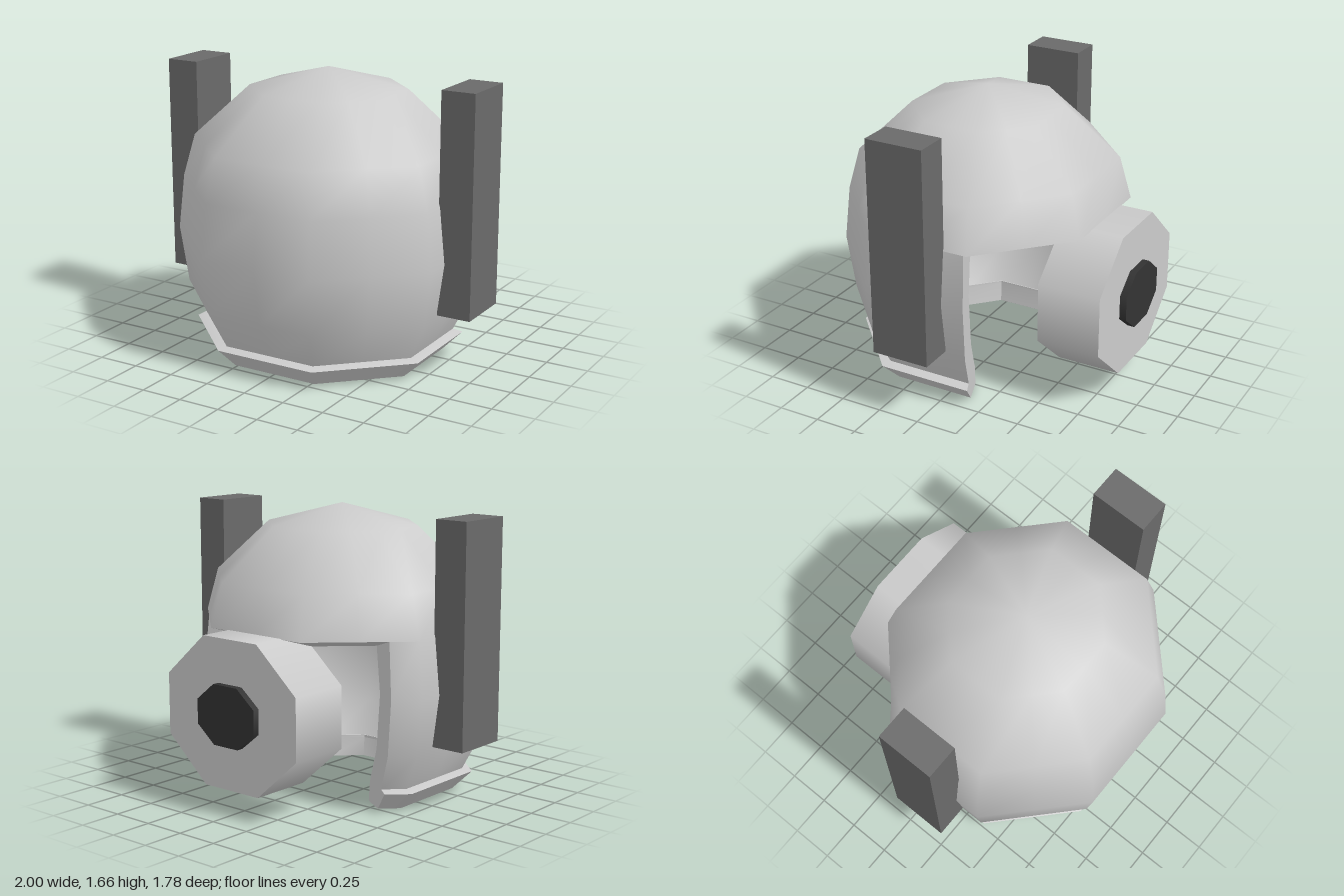
import * as THREE from 'three';
import { mergeGeometries, toCreasedNormals } from 'three/addons/utils/BufferGeometryUtils.js';

const RX = 0.84, RZ = 0.79, CZ = 0.1; // half width, half depth and centre of the octagonal plan
const STEP = 22.5;
// Opening edges, in degrees from the front; the opening is a little lopsided.
const OPEN_FROM = -123.4, OPEN_TO = 111.4;

// Point on the octagonal plan at an angle, with a size fraction and a height.
function planPoint(deg, [f, y]) {
  const local = ((deg + 22.5) % 45 + 45) % 45 - 22.5;
  const r = f / Math.cos(THREE.MathUtils.degToRad(local));
  const a = THREE.MathUtils.degToRad(deg);
  return new THREE.Vector3(RX * r * Math.sin(a), y, CZ + RZ * r * Math.cos(a));
}

// Thick shell: outer and inner profiles (bottom to top) swept around the plan.
function sweepShell(outer, inner, from, to) {
  const angles = [from];
  for (let a = Math.ceil((from + 0.01) / STEP) * STEP; a < to - 0.01; a += STEP) angles.push(a);
  angles.push(to);
  const positions = [];
  const tri = (a, b, c) => {
    const area = b.clone().sub(a).cross(c.clone().sub(a)).length();
    if (area > 1e-6) for (const p of [a, b, c]) positions.push(p.x, p.y, p.z);
  };
  const quad = (a, b, c, d) => { tri(a, b, c); tri(a, c, d); };

  const loop = [...outer, ...[...inner].reverse()];
  for (let i = 0; i < angles.length - 1; i++) {
    for (let j = 0; j < loop.length; j++) {
      const p = loop[j], q = loop[(j + 1) % loop.length];
      quad(planPoint(angles[i], p), planPoint(angles[i + 1], p),
        planPoint(angles[i + 1], q), planPoint(angles[i], q));
    }
  }
  // Close the cut ends
  if (to - from < 359.9) {
    for (let j = 0; j < outer.length - 1; j++) {
      const at = (deg) => [outer[j], inner[j], inner[j + 1], outer[j + 1]].map((p) => planPoint(deg, p));
      const [a, b, c, d] = at(from);
      quad(b, a, d, c);
      quad(...at(to));
    }
  }
  const g = new THREE.BufferGeometry();
  g.setAttribute('position', new THREE.Float32BufferAttribute(positions, 3));
  return g;
}

export function createModel() {
  const group = new THREE.Group();
  const grey = new THREE.MeshStandardMaterial({ color: 0xcccccc });
  const darkGrey = new THREE.MeshStandardMaterial({ color: 0x6a6a6a });
  const black = new THREE.MeshStandardMaterial({ color: 0x333333 });

  const add = (name, geometry, material, x = 0, y = 0, z = 0) => {
    const mesh = new THREE.Mesh(geometry, material);
    mesh.name = name;
    mesh.position.set(x, y, z);
    group.add(mesh);
    return mesh;
  };

  // Helmet: closed dome above, wall with an opening at the back below
  const dome = sweepShell(
    [[0.96, 0.99], [0.88, 1.24], [0.51, 1.545], [0, 1.665]],
    [[0.72, 0.93], [0.64, 1.16], [0.35, 1.4], [0, 1.48]], -180, 180);
  const wall = sweepShell(
    [[0.82, 0.12], [0.945, 0.34], [1, 0.67], [0.96, 0.99]],
    [[0.6, 0.12], [0.73, 0.34], [0.79, 0.67], [0.72, 0.93]], OPEN_FROM, OPEN_TO);
  add('helmetShell', toCreasedNormals(mergeGeometries([dome, wall]), 0.9), grey);

  // Flared collar under the wall, open at the back
  const collar = sweepShell(
    [[0.76, 0], [0.89, 0.115], [0.82, 0.13]],
    [[0.58, 0], [0.6, 0.115], [0.6, 0.13]], OPEN_FROM, OPEN_TO);
  add('collar', toCreasedNormals(collar, 0.75), grey);

  // Upright blocks on both sides
  for (const [name, side] of [['leftBlock', 1], ['rightBlock', -1]]) {
    add(name, new THREE.BoxGeometry(0.2, 1.27, 0.345), darkGrey, side * 0.9, 1.005, 0.1);
  }

  // Eight-sided drum behind the opening, with a dark plug in its end
  const octagonDrum = (halfWidth, halfHeight, depth) => {
    const r = 1 / Math.cos(Math.PI / 8);
    return new THREE.CylinderGeometry(r, r, depth, 8, 1, false, Math.PI / 8)
      .rotateX(Math.PI / 2).scale(halfWidth, halfHeight, 1);
  };
  add('rearDrum', octagonDrum(0.48, 0.427, 0.375), grey, 0, 0.567, -0.667);
  add('drumPlug', octagonDrum(0.212, 0.172, 0.1), black, 0, 0.57, -0.845);

  return group;
}
